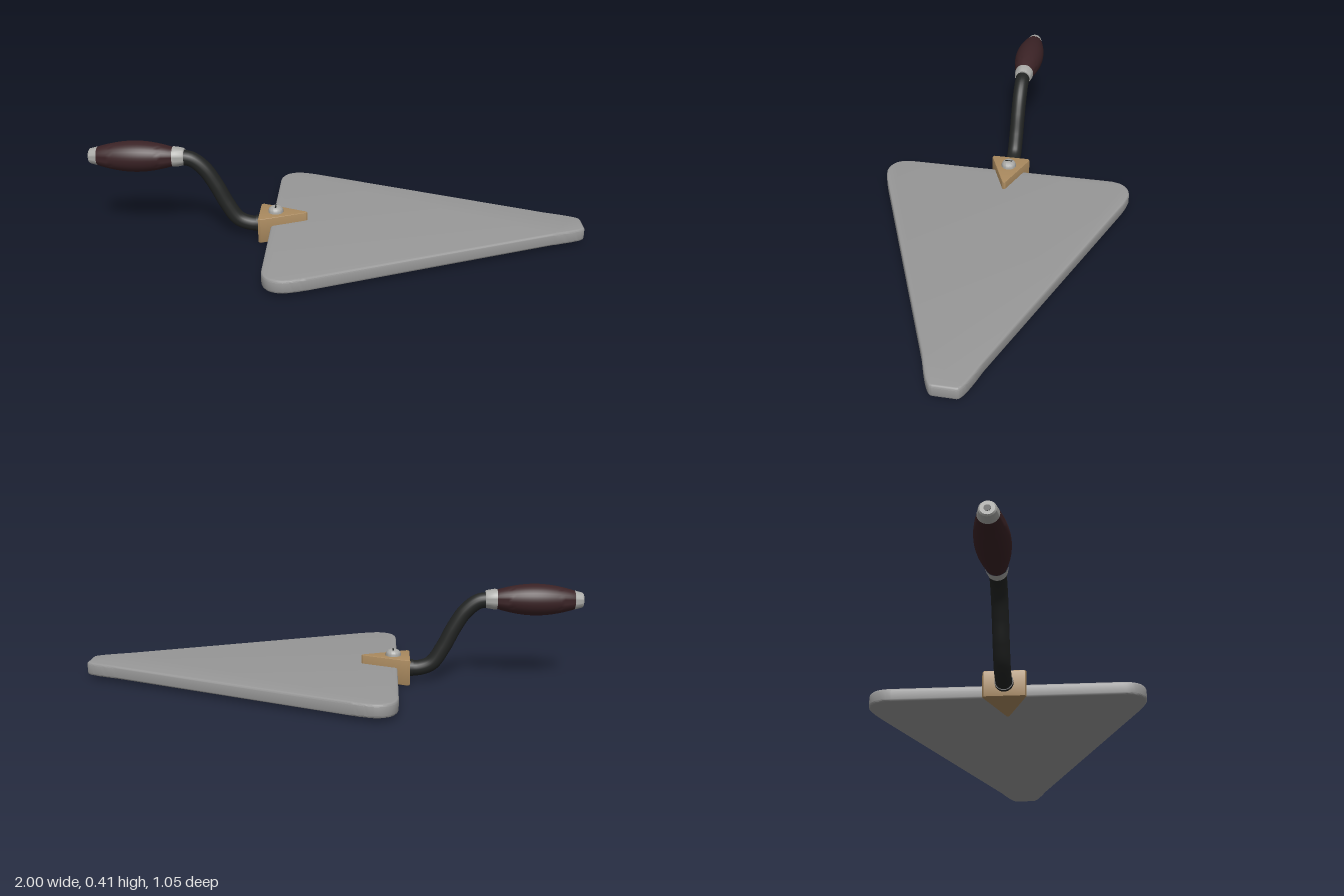
import * as THREE from 'three';
import { toCreasedNormals } from 'three/addons/utils/BufferGeometryUtils.js';

const material = (name, color) => {
  const m = new THREE.MeshStandardMaterial({ color });
  m.name = name;
  return m;
};

export function createModel() {
  const group = new THREE.Group();
  group.name = 'trowel';
  const steel = material('blade steel', 0x989898);
  const silver = material('polished metal', 0xa9a9a6);
  const brass = material('tan bracket', 0xaa8a5f);
  const black = material('black iron', 0x222423);
  const wood = material('dark wood', 0x3a2225);

  const add = (name, geometry, mat, x = 0, y = 0, z = 0) => {
    const mesh = new THREE.Mesh(geometry, mat);
    mesh.name = name;
    mesh.position.set(x, y, z);
    group.add(mesh);
    return mesh;
  };

  // Horizontal plate with rounded rims, its underside at y = 0
  const plate = (shape, height, bevel, crease) => {
    const g = new THREE.ExtrudeGeometry(shape, {
      depth: height - 2 * bevel, bevelEnabled: true, bevelSize: bevel, bevelThickness: bevel,
      bevelOffset: -bevel, bevelSegments: 3, curveSegments: 10,
    });
    g.translate(0, 0, bevel).rotateX(-Math.PI / 2);
    return toCreasedNormals(g, crease);
  };

  // Blade: wide rounded heel tapering to a blunt tip
  const blade = new THREE.Shape();
  blade.moveTo(-0.272, -0.43);
  blade.bezierCurveTo(-0.272, -0.5, -0.235, -0.527, -0.185, -0.527);
  blade.quadraticCurveTo(-0.15, -0.522, -0.1, -0.503);
  blade.lineTo(0.86, -0.108);
  blade.quadraticCurveTo(0.96, -0.076, 0.985, -0.058);
  blade.quadraticCurveTo(0.997, -0.05, 0.997, -0.04);
  blade.lineTo(0.997, 0.04);
  blade.quadraticCurveTo(0.997, 0.05, 0.985, 0.058);
  blade.quadraticCurveTo(0.96, 0.076, 0.86, 0.108);
  blade.lineTo(-0.1, 0.503);
  blade.quadraticCurveTo(-0.15, 0.522, -0.185, 0.527);
  blade.bezierCurveTo(-0.235, 0.527, -0.272, 0.5, -0.272, 0.43);
  blade.closePath();
  add('blade', plate(blade, 0.053, 0.009, 0.6), steel, 0, 0.019, 0);

  // Triangular bracket clamped around the blade heel
  const bracket = new THREE.Shape([
    [-0.322, -0.076], [-0.312, -0.082], [-0.132, -0.007], [-0.126, 0],
    [-0.132, 0.007], [-0.312, 0.082], [-0.322, 0.076],
  ].map(([x, y]) => new THREE.Vector2(x, y)));
  add('bracket', plate(bracket, 0.105, 0.004, 0.4), brass, 0, 0.003, 0);

  // Round parts from [radius, position along the axis]
  const lathe = (points, crease = 0.6) => toCreasedNormals(
    new THREE.LatheGeometry(points.map(([r, h]) => new THREE.Vector2(r, h)), 32), crease);

  // Domed screw with a slot
  add('screw', lathe([[0.031, 0], [0.031, 0.008], [0.028, 0.017], [0.02, 0.024], [0.01, 0.027], [0, 0.028]]),
    silver, -0.255, 0.106, 0);
  add('screwSlot', new THREE.BoxGeometry(0.006, 0.006, 0.03), black, -0.255, 0.1308, 0);

  // Curved neck, with a small collar at the bracket
  const neck = new THREE.CatmullRomCurve3([
    [-0.31, 0.056], [-0.36, 0.057], [-0.41, 0.078], [-0.455, 0.145], [-0.495, 0.225],
    [-0.54, 0.295], [-0.59, 0.335], [-0.64, 0.343],
  ].map(([x, y]) => new THREE.Vector3(x, y, 0)));
  add('neck', new THREE.TubeGeometry(neck, 48, 0.031, 20), black);
  add('neckCollar', new THREE.CylinderGeometry(0.035, 0.035, 0.02, 24).rotateZ(Math.PI / 2),
    black, -0.326, 0.056, 0);

  // Handle: barrel grip between two metal ferrules
  const turned = (name, points, mat) =>
    add(name, lathe(points).rotateZ(-Math.PI / 2), mat, 0, 0.345, 0);
  const grip = [];
  for (let i = 0; i <= 20; i++) {
    const t = i / 20;
    grip.push([0.036 + 0.027 * Math.sin(Math.PI * t) ** 0.9, -0.97 + 0.315 * t]);
  }
  turned('grip', grip, wood);
  turned('frontFerrule', [[0.041, -0.662], [0.041, -0.65], [0.036, -0.622], [0.033, -0.616], [0, -0.616]], silver);
  turned('endCap', [[0, -1], [0.025, -1], [0.03, -0.996], [0.038, -0.966], [0.034, -0.96]], silver);
  turned('endHole', [[0, -1.001], [0.012, -1.001], [0.012, -0.998]], black);

  return group;
}
